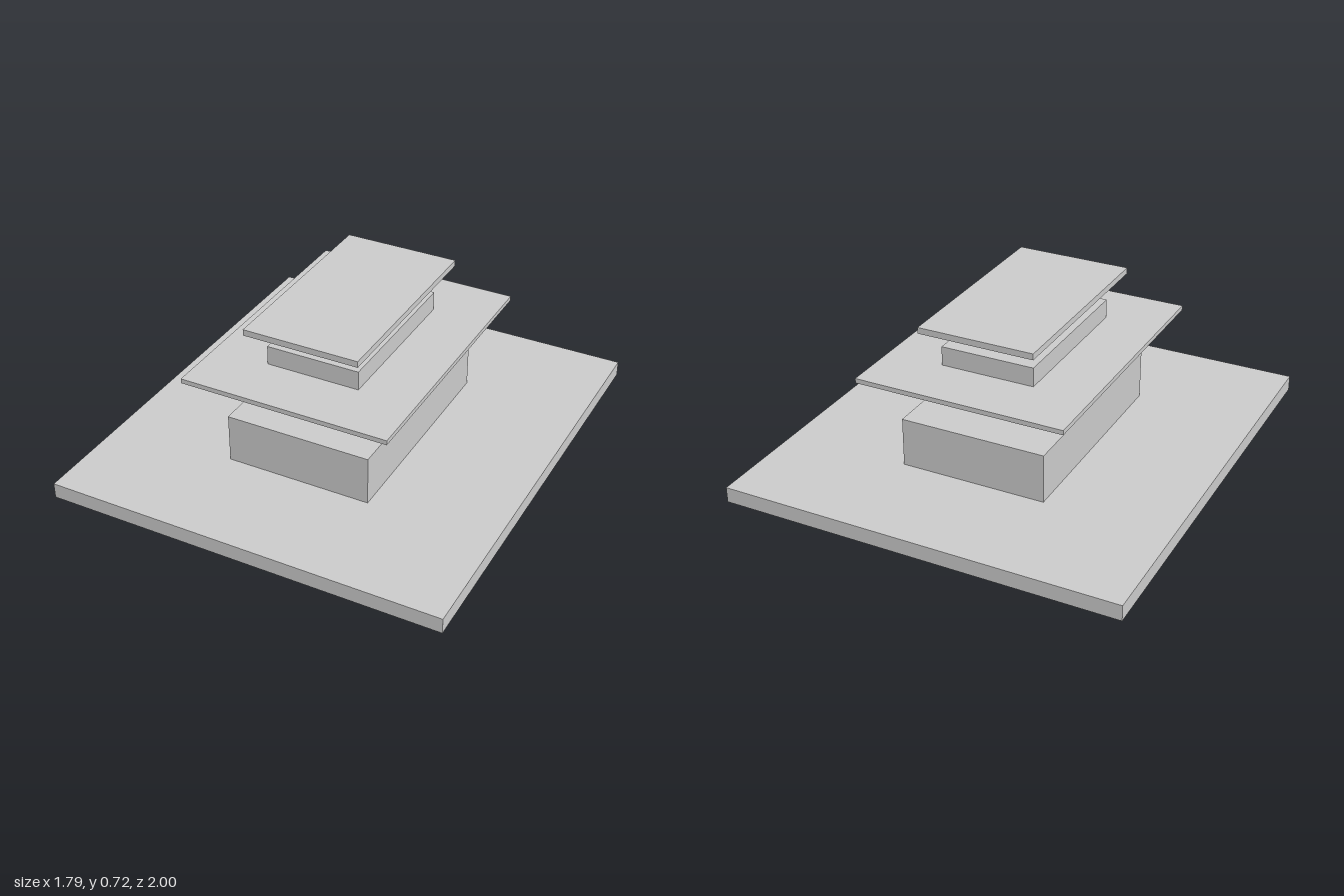
import * as THREE from 'three';

export function createModel() {
  const model = new THREE.Group();
  model.name = 'steppedMonument';
  const material = new THREE.MeshStandardMaterial({ color: 0xcccccc, flatShading: true });

  // Box spanning bottom to top in y, centred on x = 0 and on the given z
  function addBlock(name, width, depth, bottom, top, z = 0) {
    const mesh = new THREE.Mesh(new THREE.BoxGeometry(width, top - bottom, depth), material);
    mesh.name = name;
    mesh.position.set(0, (bottom + top) / 2, z);
    model.add(mesh);
  }

  // Ground slab and plinth
  addBlock('baseSlab', 1.794, 2, 0, 0.07);
  addBlock('plinth', 0.662, 1.015, 0.07, 0.291);

  // Narrow wall carrying the wide middle slab
  addBlock('supportWall', 0.105, 0.566, 0.291, 0.488);
  addBlock('middleSlab', 0.946, 1.256, 0.488, 0.509);

  // Upper block, two posts and the roof slab
  addBlock('upperBlock', 0.426, 0.728, 0.509, 0.595);
  for (const [name, side] of [['frontPost', 1], ['backPost', -1]]) {
    addBlock(name, 0.21, 0.053, 0.595, 0.69, side * 0.256);
  }
  addBlock('topSlab', 0.526, 0.934, 0.69, 0.718);

  return model;
}
